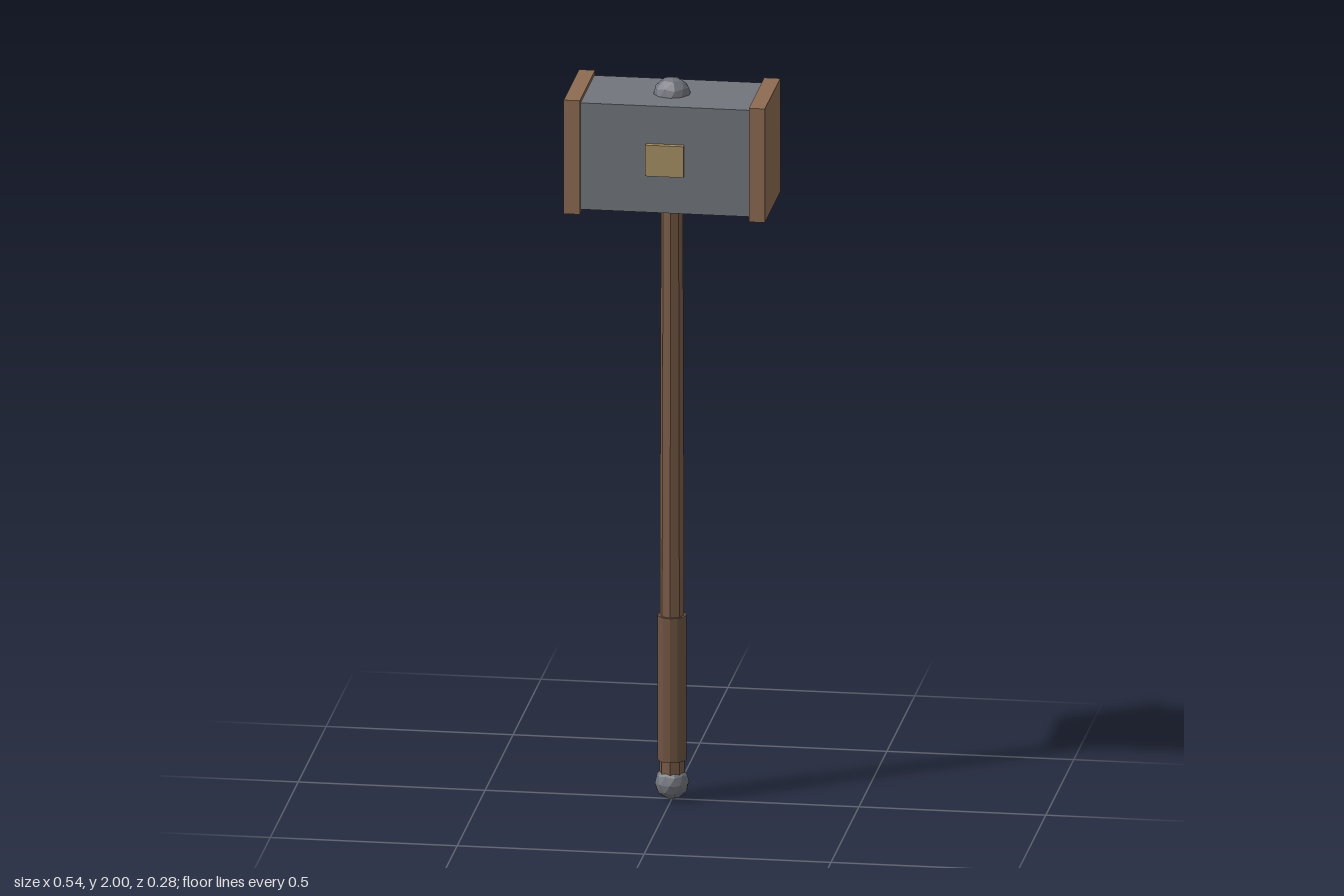
import * as THREE from 'three';

const paint = (name, color) => {
  const m = new THREE.MeshStandardMaterial({ color, flatShading: true });
  m.name = name;
  return m;
};

export function createModel() {
  const steel = paint('steel grey', 0x72757d);
  const copper = paint('copper brown', 0x8d6b52);
  const brass = paint('dull brass', 0xa89064);
  const wood = paint('handle wood', 0x785b46);
  const leather = paint('grip leather', 0x6f5442);

  const model = new THREE.Group();
  model.name = 'longHammer';
  const add = (name, geometry, material, x, y, z) => {
    const mesh = new THREE.Mesh(geometry, material);
    mesh.name = name;
    mesh.position.set(x, y, z);
    model.add(mesh);
  };

  // Faceted ball with one vertex pointing straight up
  const ball = (r) => new THREE.IcosahedronGeometry(r, 1)
    .rotateZ(-Math.atan(2 / (1 + Math.sqrt(5))));

  // Handle: slightly tapered shaft, thicker grip, end balls
  add('shaft', new THREE.CylinderGeometry(0.029, 0.034, 1.72, 8), wood, 0, 0.93, 0);
  add('grip', new THREE.CylinderGeometry(0.039, 0.039, 0.4, 12), leather, 0, 0.31, 0);
  add('pommel', ball(0.046), steel, 0, 0.046, 0);
  add('topKnob', ball(0.051), steel, 0, 1.949, 0);

  // Head block
  add('headBlock', new THREE.BoxGeometry(0.455, 0.295, 0.248), steel, 0, 1.808, 0);

  // Striking caps at both ends, square plates on front and back
  for (const s of [1, -1]) {
    const side = s > 0 ? 'left' : 'right';
    add(side + 'StrikingCap', new THREE.BoxGeometry(0.043, 0.315, 0.276), copper, s * 0.2475, 1.808, 0);
    add(s > 0 ? 'frontPlate' : 'backPlate', new THREE.BoxGeometry(0.102, 0.086, 0.02), brass, 0, 1.808, s * 0.129);
  }
  return model;
}
